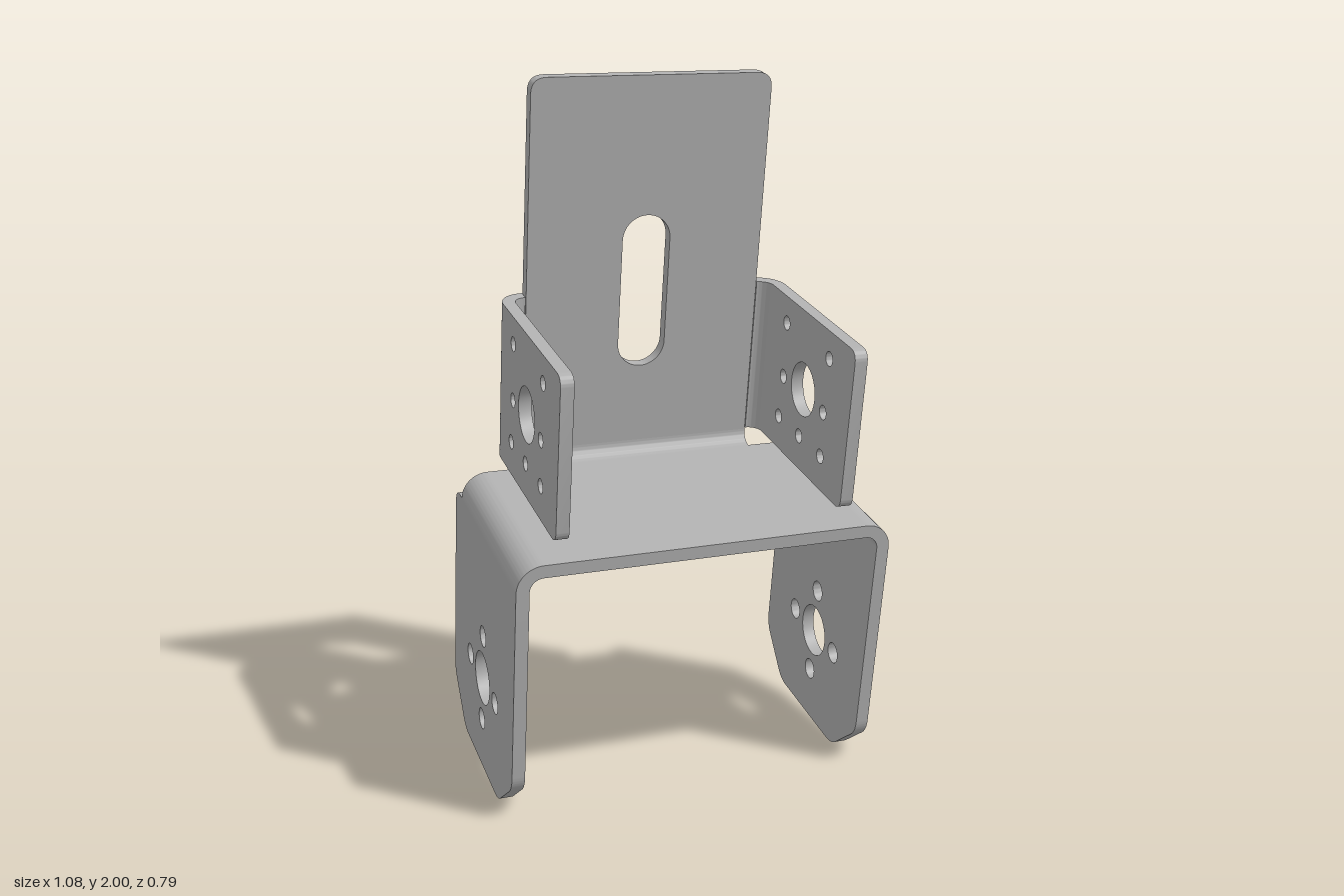
import * as THREE from 'three';
import { toCreasedNormals } from 'three/addons/utils/BufferGeometryUtils.js';

const T = 0.037;      // sheet thickness
const R = 0.075;      // outer bend radius
const TILT = Math.PI / 20;

// Closed outline from [x, y, cornerRadius] points
function outline(points) {
  const shape = new THREE.Shape();
  const n = points.length;
  points.forEach(([x, y, r = 0], i) => {
    const p = new THREE.Vector2(x, y);
    const toward = ([qx, qy]) => new THREE.Vector2(qx, qy).sub(p).setLength(r).add(p);
    const a = r ? toward(points[(i + n - 1) % n]) : p;
    const b = r ? toward(points[(i + 1) % n]) : p;
    if (i === 0) shape.moveTo(a.x, a.y);
    else shape.lineTo(a.x, a.y);
    if (r) shape.quadraticCurveTo(x, y, b.x, b.y);
  });
  shape.closePath();
  return shape;
}

function addHole(shape, x, y, r) {
  const hole = new THREE.Path();
  hole.absarc(x, y, r, 0, Math.PI * 2, true);
  shape.holes.push(hole);
}

// Quarter ring section of a bend, starting at angle a
function bendSection(cx, cy, a) {
  const s = new THREE.Shape();
  s.absarc(cx, cy, R, a, a + Math.PI / 2, false);
  s.absarc(cx, cy, R - T, a + Math.PI / 2, a, true);
  s.closePath();
  return s;
}

const extrude = (shape, depth) =>
  new THREE.ExtrudeGeometry(shape, { depth, bevelEnabled: false, curveSegments: 14 });

export function createModel() {
  const steel = new THREE.MeshStandardMaterial({ color: 0xb0b0b0 });
  steel.name = 'grey steel';
  const model = new THREE.Group();
  model.name = 'bracket';
  const body = new THREE.Group();
  body.name = 'tiltedBody';
  body.rotation.x = TILT;
  model.add(body);

  const add = (name, geometry) => {
    const mesh = new THREE.Mesh(toCreasedNormals(geometry, 0.5), steel);
    mesh.name = name;
    body.add(mesh);
  };
  // Side profile (z, y) extruded from x0 towards +x
  const sideways = (shape, x0, depth) =>
    extrude(shape, depth).rotateY(-Math.PI / 2).translate(x0 + depth, 0, 0);

  const legX = 0.54, armX = 0.427, topY = 0.83;
  const front = 0.228, back = -0.43, bendZ = back + R, mid = -0.1;
  const legTop = topY - R, plateBase = topY - T + R;
  const armBottom = 0.872, armTop = 1.34, armFront = 0.197;

  // Base plate
  add('basePlate', new THREE.BoxGeometry(2 * (legX - R), T, front - bendZ)
    .translate(0, topY - T / 2, (front + bendZ) / 2));

  // Bend joining base and back plate
  add('backBend', sideways(bendSection(bendZ, plateBase, Math.PI), -0.35, 0.7));

  // Back plate with a slot
  const plate = outline([[-0.35, plateBase], [0.35, plateBase], [0.35, 1.957, 0.045], [-0.35, 1.957, 0.045]]);
  const slot = new THREE.Path();
  slot.absarc(0, 1.49, 0.071, 0, Math.PI, false);
  slot.absarc(0, 1.177, 0.071, Math.PI, Math.PI * 2, false);
  slot.closePath();
  plate.holes.push(slot);
  add('backPlate', extrude(plate, T).translate(0, 0, back));

  // Leg outline: chamfered foot, cross of holes round a large one
  const leg = outline([
    [front, legTop], [bendZ, legTop], [-0.425, legTop, 0.05],
    [-0.425, 0.145, 0.035], [-0.29, 0.013, 0.035],
    [0.09, 0.013, 0.035], [front, 0.145, 0.035],
  ]);
  addHole(leg, mid, 0.303, 0.079);
  for (const [dx, dy] of [[1, 0], [-1, 0], [0, 1], [0, -1]]) {
    addHole(leg, mid + dx * 0.137, 0.303 + dy * 0.137, 0.031);
  }

  // Arm outline: rounded front corners, seven small holes round a large one
  const arm = outline([
    [bendZ, armBottom], [armFront, armBottom, 0.035],
    [armFront, armTop, 0.035], [bendZ, armTop],
  ]);
  addHole(arm, mid, 1.113, 0.079);
  addHole(arm, mid, 0.968, 0.021);
  for (const s of [-1, 1]) {
    for (const [dz, y] of [[0.144, 1.2625], [0.137, 1.099], [0.146, 0.969]]) {
      addHole(arm, mid + s * dz, y, 0.021);
    }
  }

  for (const s of [1, -1]) {
    const side = s > 0 ? 'left' : 'right';
    const start = s > 0 ? 0 : Math.PI / 2;
    const inner = (x) => (s > 0 ? x - T : -x);
    add(side + 'Leg', sideways(leg, inner(legX), T));
    add(side + 'LegBend', extrude(bendSection(s * (legX - R), legTop, start), front - bendZ)
      .translate(0, 0, bendZ));
    add(side + 'Arm', sideways(arm, inner(armX), T));
    add(side + 'ArmBend', extrude(bendSection(s * (armX - R), -bendZ, start), armTop - armBottom)
      .rotateX(-Math.PI / 2).translate(0, armBottom, 0));
  }
  return model;
}
